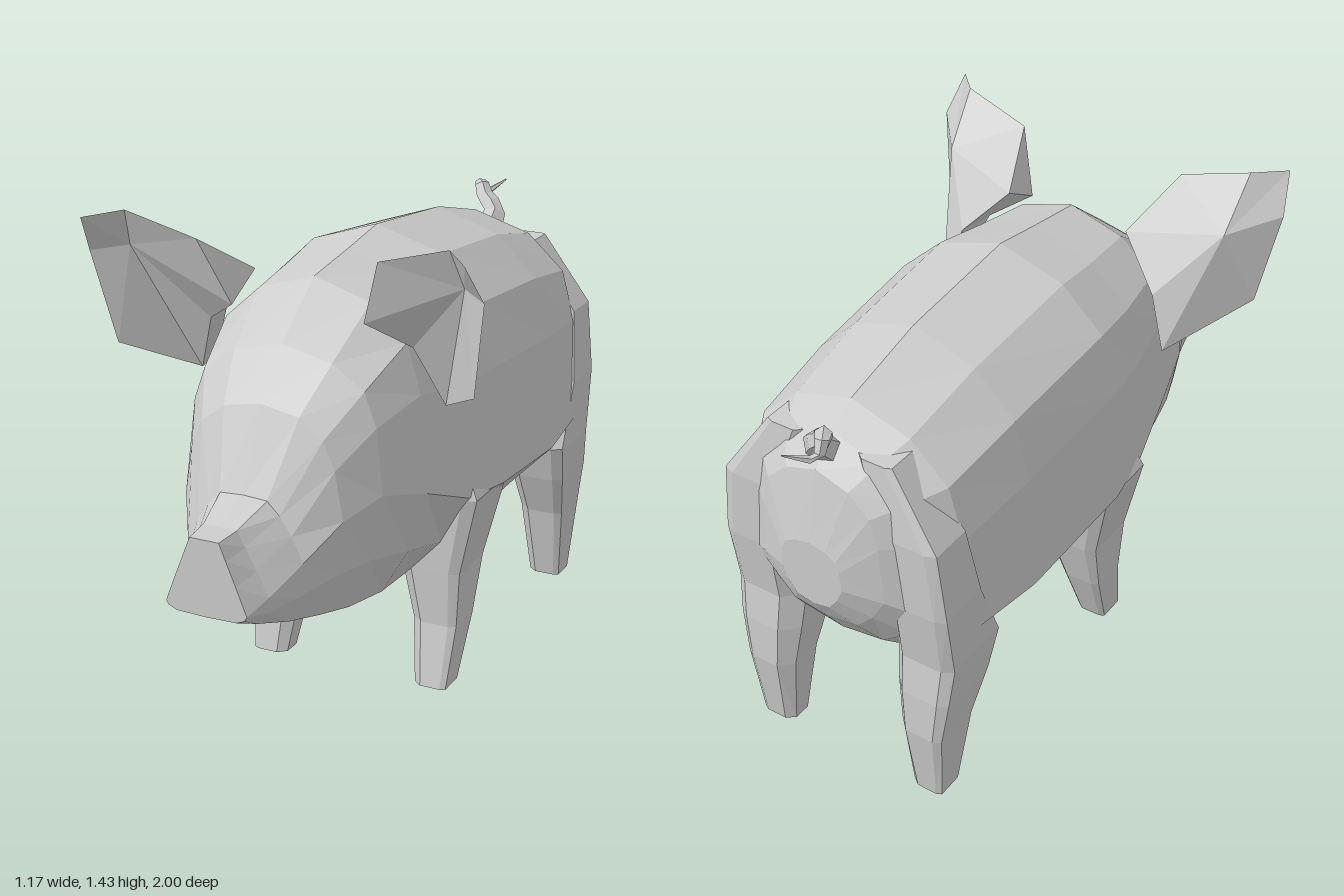
import * as THREE from 'three';

const material = new THREE.MeshStandardMaterial({ color: 0xcccccc, flatShading: true, side: THREE.DoubleSide });

// Faceted closed mesh; the winding is flipped if the volume comes out negative
function solid(name, points, tris) {
  const v = points.map(p => new THREE.Vector3(...p));
  let volume = 0;
  for (const [a, b, c] of tris) volume += v[a].dot(v[b].clone().cross(v[c]));
  const index = tris.flatMap(([a, b, c]) => (volume < 0 ? [a, c, b] : [a, b, c]));
  let geo = new THREE.BufferGeometry().setFromPoints(v);
  geo.setIndex(index);
  geo = geo.toNonIndexed();
  geo.computeVertexNormals();
  const mesh = new THREE.Mesh(geo, material);
  mesh.name = name;
  return mesh;
}

// Skin between equal-length rings, with fan caps at both ends
function loft(name, rings) {
  const n = rings[0].length, points = rings.flat(), tris = [];
  for (let i = 0; i < rings.length - 1; i++) {
    for (let j = 0; j < n; j++) {
      const a = i * n + j, b = i * n + (j + 1) % n;
      tris.push([a, b, b + n], [a, b + n, a + n]);
    }
  }
  const last = (rings.length - 1) * n;
  for (let j = 1; j < n - 1; j++) tris.push([0, j + 1, j], [last, last + j, last + j + 1]);
  return solid(name, points, tris);
}

// Half profiles, top centre to bottom centre: barrel body and wedge snout
const BARREL = [[0, 1], [0.5, 0.91], [0.82, 0.74], [0.94, 0.49], [1, 0], [0.7, -0.5], [0.38, -0.88], [0, -1]];
const SNOUT = [[0, 1], [0.36, 1], [0.52, 0.75], [0.75, 0.4], [1, 0], [0.94, -0.5], [0.74, -0.9], [0, -1]];

// z, top, middle, bottom, half width, share of snout profile above and below the middle
const BODY = [
  [1.0, 0.72, 0.53, 0.505, 0.12, 1, 1],
  [0.92, 0.725, 0.555, 0.465, 0.14, 1, 1],
  [0.8, 0.77, 0.61, 0.415, 0.175, 0.7, 1],
  [0.7, 0.99, 0.7, 0.385, 0.24, 0.2, 0.85],
  [0.58, 1.12, 0.74, 0.355, 0.295, 0, 0.75],
  [0.4, 1.26, 0.69, 0.33, 0.34, 0, 0.6],
  [0.2, 1.29, 0.61, 0.31, 0.38, 0, 0.3],
  [0.02, 1.32, 0.6, 0.295, 0.41, 0, 0],
  [-0.4, 1.28, 0.56, 0.32, 0.392, 0, 0],
  [-0.68, 1.21, 0.58, 0.4, 0.368, 0, 0],
  [-0.77, 1.16, 0.66, 0.485, 0.305, 0, 0.2],
  [-0.84, 1.08, 0.72, 0.58, 0.2, 0, 0.4],
  [-0.888, 0.87, 0.75, 0.66, 0.1, 0, 0.4],
];

function bodyRing([z, top, mid, bottom, width, upper, lower]) {
  const half = BARREL.map(([x, t], i) => {
    const k = t > 0 ? upper : lower;
    const px = THREE.MathUtils.lerp(x, SNOUT[i][0], k);
    const pt = THREE.MathUtils.lerp(t, SNOUT[i][1], k);
    return [px * width, mid + pt * (pt > 0 ? top - mid : mid - bottom), z];
  });
  return [...half, ...half.slice(1, -1).reverse().map(([x, y, zz]) => [-x, y, zz])];
}

// Leg sections: y, inner x, outer x, back z, front z
const FRONT_LEG = [
  [0, 0.215, 0.32, 0.125, 0.225],
  [0.19, 0.19, 0.335, 0.05, 0.19],
  [0.36, 0.15, 0.345, 0, 0.2],
  [0.6, 0.15, 0.398, -0.04, 0.21],
  [0.7, 0.18, 0.35, 0, 0.18],
];
const BACK_LEG = [
  [0, 0.215, 0.32, -0.775, -0.68],
  [0.24, 0.19, 0.34, -0.805, -0.63],
  [0.38, 0.17, 0.36, -0.8, -0.57],
  [0.5, 0.16, 0.37, -0.785, -0.53],
  [0.7, 0.16, 0.37, -0.81, -0.62],
  [0.92, 0.13, 0.347, -0.815, -0.66],
  [1.13, 0.08, 0.2, -0.79, -0.68],
];

// Four-sided section with small cuts on the outer corners and larger ones inside
function legRing([y, x0, x1, z0, z1], side) {
  const w = x1 - x0, d = z1 - z0;
  return [
    [x0 + w * 0.25, z0], [x1 - w * 0.15, z0], [x1, z0 + d * 0.08], [x1, z1 - d * 0.08],
    [x1 - w * 0.15, z1], [x0 + w * 0.25, z1], [x0, z1 - d * 0.22], [x0, z0 + d * 0.22],
  ].map(([x, z]) => [side * x, y, z]);
}

// Ear: front rim (0-7), hollow (8), back of the base (9-11), back bulge (12)
const EAR = [
  [0.2, 1.18, 0.5], [0.27, 1.37, 0.56], [0.48, 1.43, 0.58], [0.56, 1.42, 0.67],
  [0.585, 1.31, 0.6], [0.54, 1.04, 0.55], [0.38, 0.94, 0.37], [0.31, 1.11, 0.43],
  [0.5, 1.32, 0.53], [0.385, 0.95, 0.285], [0.33, 1.11, 0.31], [0.2, 1.25, 0.37],
  [0.47, 1.28, 0.46],
];
const EAR_BACK = [
  [9, 6, 5], [11, 1, 0], [7, 6, 9], [7, 9, 10], [7, 10, 11], [7, 11, 0],
];

function ear(name, side) {
  const tris = [...EAR_BACK];
  for (let i = 0; i < 8; i++) tris.push([8, i, (i + 1) % 8]);
  const loop = [5, 4, 3, 2, 1, 11, 10, 9];
  loop.forEach((a, i) => tris.push([12, a, loop[(i + 1) % loop.length]]));
  return solid(name, EAR.map(([x, y, z]) => [side * x, y, z]), tris);
}

// Curly tail: five-sided tapering tube
function tail() {
  const path = new THREE.CatmullRomCurve3([
    [0, 1.11, -0.78], [0, 1.17, -0.84], [-0.045, 1.21, -0.86],
    [-0.075, 1.26, -0.89], [-0.08, 1.2, -0.925], [-0.03, 1.24, -1],
  ].map(p => new THREE.Vector3(...p)), false, 'catmullrom', 0.2);
  const steps = 10, sides = 5;
  const pos = new THREE.TubeGeometry(path, steps, 0.045, sides).attributes.position;
  const rings = [];
  for (let i = 0; i <= steps; i++) {
    const centre = path.getPointAt(i / steps), ring = [];
    for (let j = 0; j < sides; j++) {
      const p = new THREE.Vector3().fromBufferAttribute(pos, i * (sides + 1) + j);
      ring.push(p.sub(centre).multiplyScalar(1 - 0.95 * i / steps).add(centre).toArray());
    }
    rings.push(ring);
  }
  return loft('tail', rings);
}

export function createModel() {
  const pig = new THREE.Group();
  pig.name = 'pig';
  pig.add(loft('body', BODY.map(bodyRing)), tail());
  for (const [word, side] of [['left', 1], ['right', -1]]) {
    pig.add(
      loft(word + 'FrontLeg', FRONT_LEG.map(r => legRing(r, side))),
      loft(word + 'BackLeg', BACK_LEG.map(r => legRing(r, side))),
      ear(word + 'Ear', side),
    );
  }
  return pig;
}
